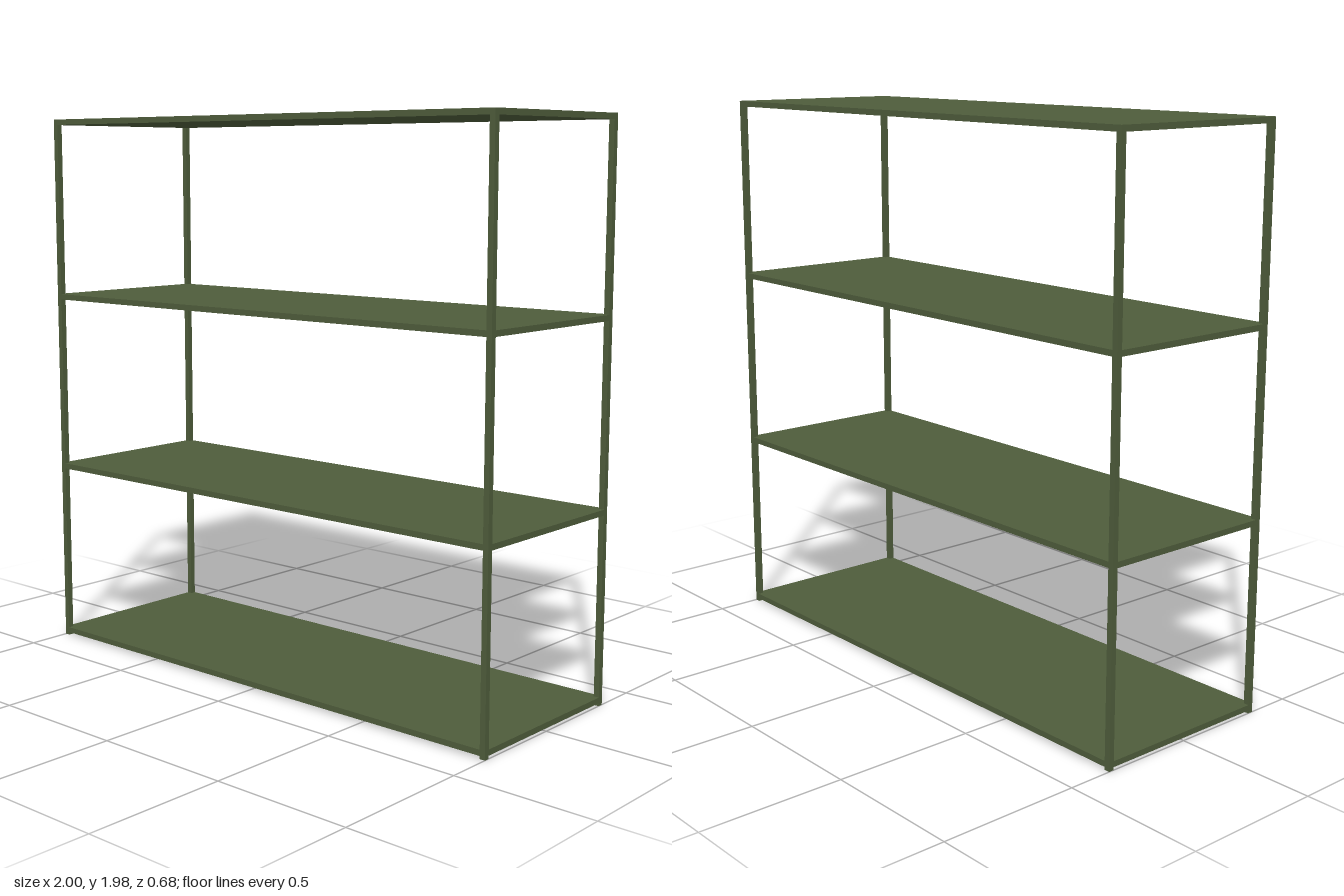
import * as THREE from 'three';

const W = 2, D = 0.68, H = 1.98; // overall size
const POST = 0.02, BOARD = 0.02; // post section, shelf thickness

export function createModel() {
  const group = new THREE.Group();
  const paint = new THREE.MeshStandardMaterial({ color: 0x4e5c3b });

  // Four square corner posts, full height
  const postGeometry = new THREE.BoxGeometry(POST, H, POST);
  for (const sx of [-1, 1]) {
    for (const sz of [-1, 1]) {
      const post = new THREE.Mesh(postGeometry, paint);
      post.name = `${sz > 0 ? 'front' : 'back'}${sx > 0 ? 'Left' : 'Right'}Post`;
      post.position.set(sx * (W - POST) / 2, H / 2, sz * (D - POST) / 2);
      group.add(post);
    }
  }

  // Shelf boards, notched at the corners to fit flush around the posts
  const x = W / 2, z = D / 2, xi = x - POST, zi = z - POST;
  const outline = new THREE.Shape([
    [-xi, -z], [xi, -z], [xi, -zi], [x, -zi], [x, zi], [xi, zi],
    [xi, z], [-xi, z], [-xi, zi], [-x, zi], [-x, -zi], [-xi, -zi],
  ].map(([a, b]) => new THREE.Vector2(a, b)));
  const shelfGeometry = new THREE.ExtrudeGeometry(outline, { depth: BOARD, bevelEnabled: false });
  shelfGeometry.rotateX(-Math.PI / 2);

  // Four evenly spaced shelves, the lowest just clear of the floor
  const lowest = 0.01, highest = H - BOARD;
  for (let i = 0; i < 4; i++) {
    const shelf = new THREE.Mesh(shelfGeometry, paint);
    shelf.name = `shelf${i + 1}`;
    shelf.position.y = lowest + (highest - lowest) * i / 3;
    group.add(shelf);
  }
  return group;
}
